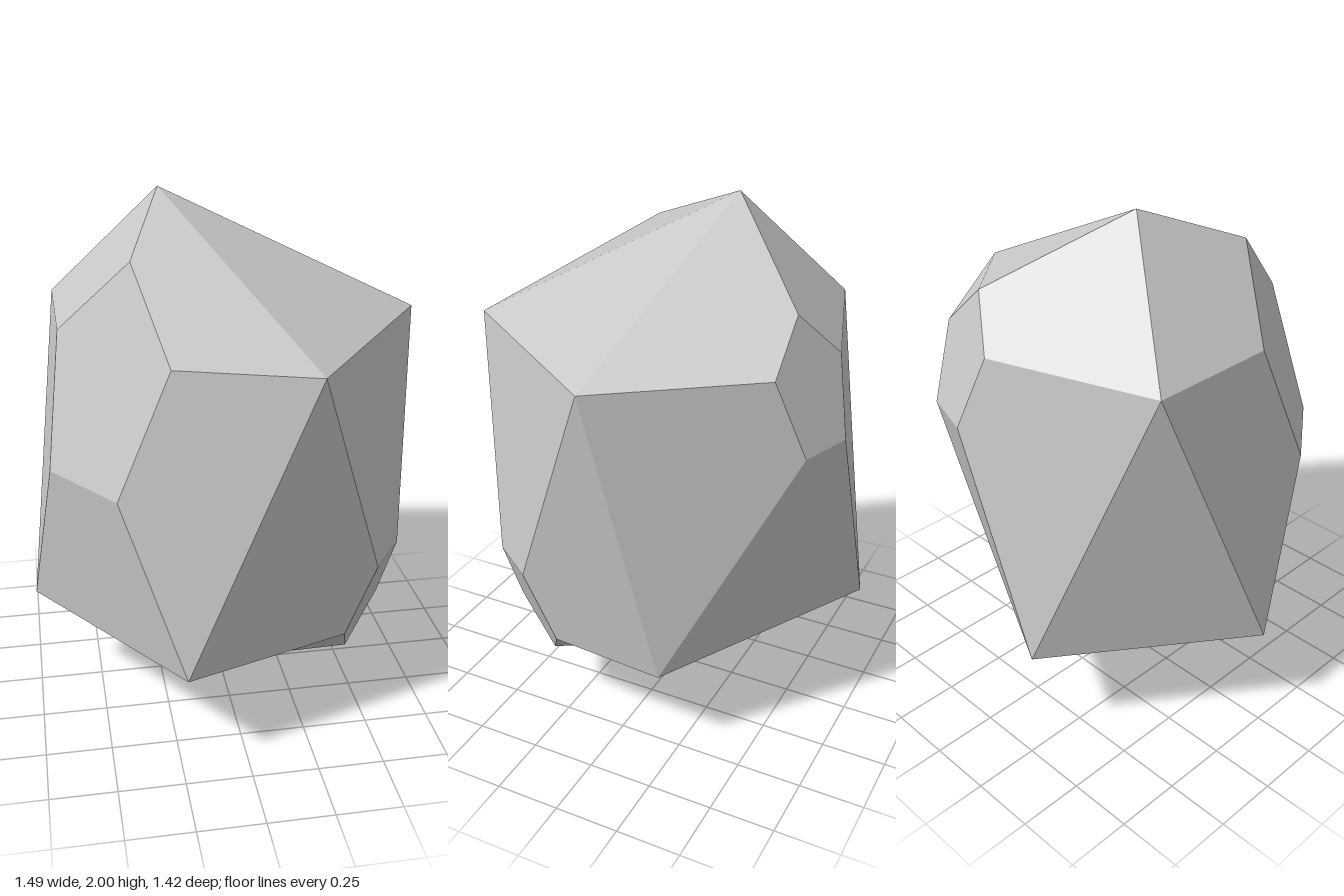
import * as THREE from 'three';

const RADIUS = 0.747;

// One corner of the stretched icosahedron
const corner = (x, y, z) => ({ base: new THREE.Vector3(x, y, z), chop: 0 });

// Five corners of one ring
function ring(y, startDeg) {
  return Array.from({ length: 5 }, (_, i) => {
    const a = THREE.MathUtils.degToRad(startDeg + i * 72);
    return corner(Math.cos(a) * RADIUS, y, Math.sin(a) * RADIUS);
  });
}

// Point where a chopped corner meets the edge to its neighbour
const cutPoint = (c, neighbour) => c.base.clone().lerp(neighbour.base, c.chop);

// Corner loop of a face: a chopped corner becomes two points
function faceLoop(corners) {
  return corners.flatMap((c, k) => (c.chop
    ? [cutPoint(c, corners[(k + 2) % 3]), cutPoint(c, corners[(k + 1) % 3])]
    : [c.moved ?? c.base]));
}

// Fan-filled facets, each with a single flat normal
function facetGeometry(loops) {
  const positions = [];
  const normals = [];
  for (const loop of loops) {
    const normal = new THREE.Vector3();
    for (let k = 1; k < loop.length - 1; k++) {
      const a = loop[k].clone().sub(loop[0]);
      const b = loop[k + 1].clone().sub(loop[0]);
      normal.add(a.cross(b));
    }
    normal.normalize();
    for (let k = 1; k < loop.length - 1; k++) {
      for (const p of [loop[0], loop[k], loop[k + 1]]) {
        positions.push(p.x, p.y, p.z);
        normals.push(normal.x, normal.y, normal.z);
      }
    }
  }
  const geometry = new THREE.BufferGeometry();
  geometry.setAttribute('position', new THREE.Float32BufferAttribute(positions, 3));
  geometry.setAttribute('normal', new THREE.Float32BufferAttribute(normals, 3));
  return geometry;
}

export function createModel() {
  const stone = new THREE.MeshStandardMaterial({ color: 0xc8c8c8 });
  stone.name = 'stone grey';

  const upper = ring(1.542, 0);
  const lower = ring(0.42, 36);
  const top = corner(0, 2.23, 0);
  const bottom = corner(0, -0.265, 0);

  // Corners pushed out of place
  top.moved = new THREE.Vector3(-0.205, 2, -0.148);
  bottom.moved = new THREE.Vector3(-0.12, 0, -0.005);
  lower[4].moved = new THREE.Vector3(0.595, 0.38, -0.21);

  // Corners chopped off
  upper[2].chop = 0.42;
  upper[4].chop = 0.25;
  lower[0].chop = 0.25;

  const loops = [];
  for (let i = 0; i < 5; i++) {
    const j = (i + 1) % 5;
    const h = (i + 4) % 5;
    // Crown, belt and base facets
    loops.push(
      faceLoop([upper[j], upper[i], top]),
      faceLoop([lower[i], upper[i], upper[j]]),
      faceLoop([lower[i], upper[j], lower[j]]),
      faceLoop([bottom, lower[i], lower[j]]),
    );
    // Facets left by the chopped corners
    if (upper[i].chop) {
      loops.push([upper[h], top, upper[j], lower[i], lower[h]].map((n) => cutPoint(upper[i], n)));
    }
    if (lower[i].chop) {
      loops.push([lower[h], upper[i], upper[j], lower[j], bottom].map((n) => cutPoint(lower[i], n)));
    }
  }

  const rock = new THREE.Mesh(facetGeometry(loops), stone);
  rock.name = 'rock';

  const group = new THREE.Group();
  group.name = 'facetedRock';
  group.add(rock);
  return group;
}
